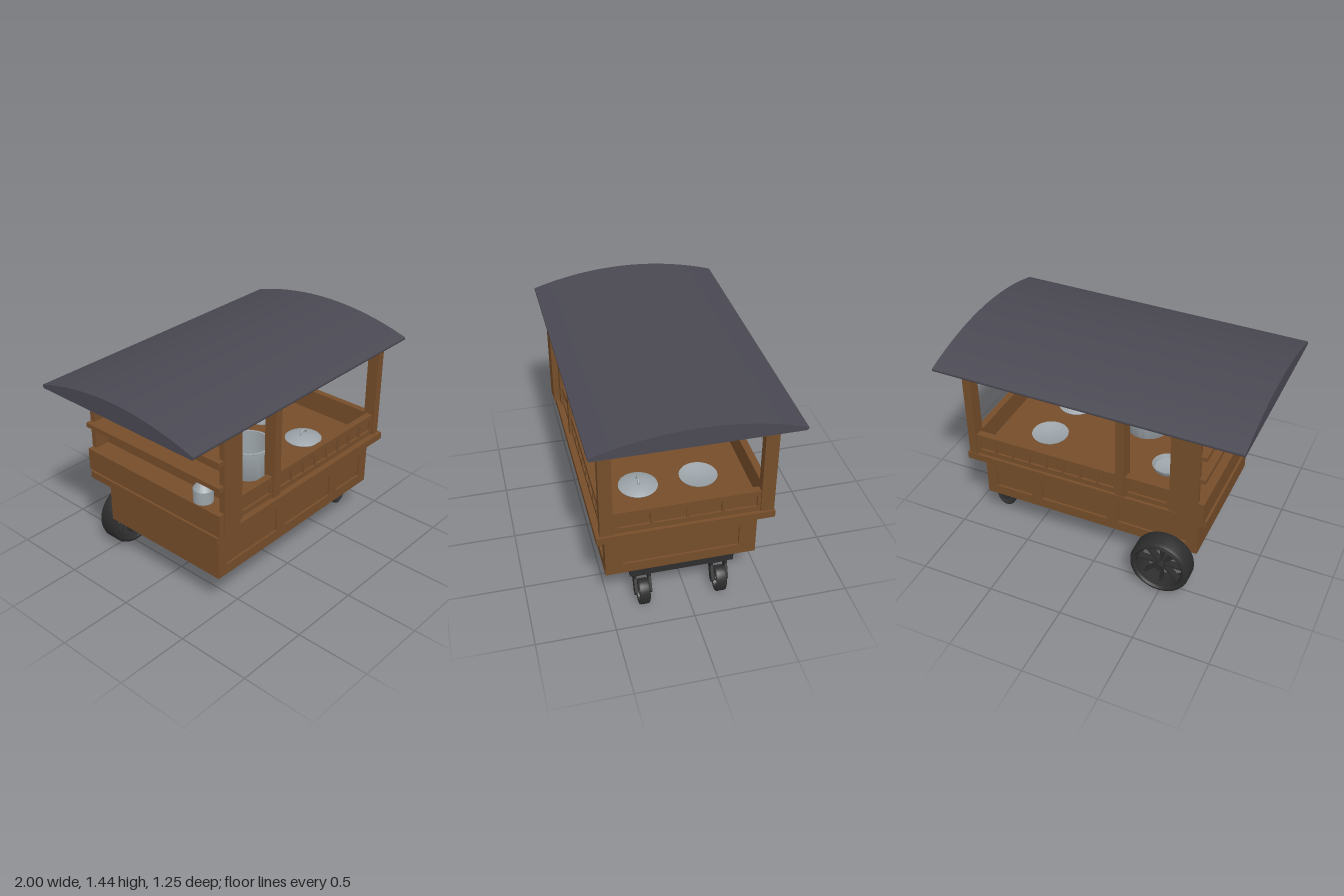
import * as THREE from 'three';
import { toCreasedNormals } from 'three/addons/utils/BufferGeometryUtils.js';

const mat = (name, color, side = THREE.FrontSide) => {
  const m = new THREE.MeshStandardMaterial({ color, side });
  m.name = name;
  return m;
};

export function createModel() {
  const wood = mat('wood', 0x754d2a);
  const slate = mat('roof slate', 0x4a4953);
  const steel = mat('steel', 0x9ca4a9, THREE.DoubleSide);
  const iron = mat('black iron', 0x2d2d2e);
  const root = new THREE.Group();
  root.name = 'foodCart';

  const add = (name, geo, material, parent = root) => {
    const m = new THREE.Mesh(geo, material);
    m.name = name;
    parent.add(m);
    return m;
  };
  // Box given by its limits on each axis
  const box = (name, x0, x1, y0, y1, z0, z1, material = wood, parent = root) => {
    const m = add(name, new THREE.BoxGeometry(x1 - x0, y1 - y0, z1 - z0), material, parent);
    m.position.set((x0 + x1) / 2, (y0 + y1) / 2, (z0 + z1) / 2);
    return m;
  };
  const rectPath = (P, x0, x1, y0, y1) => {
    const p = new P();
    p.moveTo(x0, y0);
    p.lineTo(x1, y0);
    p.lineTo(x1, y1);
    p.lineTo(x0, y1);
    p.closePath();
    return p;
  };
  // Frame with window-like holes; its outer face lies on local z = 0
  const DEPTH = 0.015;
  const frame = (name, x0, x1, y0, y1, holes, hy0, hy1) => {
    const s = rectPath(THREE.Shape, x0, x1, y0, y1);
    holes.forEach(([a, b]) => s.holes.push(rectPath(THREE.Path, a, b, hy0, hy1)));
    const g = new THREE.ExtrudeGeometry(s, { depth: DEPTH, bevelEnabled: false });
    g.translate(0, 0, -DEPTH);
    return add(name, g, wood);
  };
  const mirrored = (holes) => holes.map(([a, b]) => [-b, -a]);

  // Lower cabinet with recessed panels on front, back and right end
  box('lowerCabinet', -0.695, 0.795, 0.285, 0.585, -0.42, 0.505);
  const lowHoles = [[-0.62, -0.15], [-0.07, 0.4], [0.48, 0.735]];
  frame('lowerFrontFrame', -0.695, 0.81, 0.285, 0.585, lowHoles, 0.355, 0.52).position.z = 0.52;
  const lowBack = frame('lowerBackFrame', -0.81, 0.695, 0.285, 0.585, mirrored(lowHoles), 0.355, 0.52);
  lowBack.position.z = -0.435;
  lowBack.rotation.y = Math.PI;
  const lowEnd = frame('lowerEndFrame', -0.52, 0.435, 0.285, 0.585, [[-0.41, 0.325]], 0.355, 0.52);
  lowEnd.position.x = 0.81;
  lowEnd.rotation.y = Math.PI / 2;

  // Neck and counter slab
  box('neck', -0.61, 0.72, 0.58, 0.615, -0.325, 0.385);
  box('counterSlab', -0.775, 0.885, 0.612, 0.66, -0.52, 0.58);

  // Low panelled walls round the counter
  const wallHoles = [[-0.505, -0.245]];
  for (let i = 0; i < 8; i++) wallHoles.push([-0.15 + i * 0.12, -0.045 + i * 0.12]);
  box('frontWall', -0.56, 0.84, 0.66, 0.81, 0.495, 0.525);
  frame('frontWallFrame', -0.56, 0.84, 0.66, 0.81, wallHoles, 0.695, 0.775).position.z = 0.54;
  box('backWall', -0.56, 0.84, 0.66, 0.81, -0.485, -0.455);
  const back = frame('backWallFrame', -0.84, 0.56, 0.66, 0.81, mirrored(wallHoles), 0.695, 0.775);
  back.position.z = -0.5;
  back.rotation.y = Math.PI;
  const endHoles = [0, 1, 2, 3].map((i) => [-0.45 + i * 0.22, -0.25 + i * 0.22]);
  box('endWall', 0.815, 0.845, 0.66, 0.81, -0.45, 0.49);
  const end = frame('endWallFrame', -0.49, 0.45, 0.66, 0.81, endHoles, 0.695, 0.775);
  end.position.x = 0.86;
  end.rotation.y = Math.PI / 2;

  // Roof posts, front and back
  for (const [x0, x1] of [[-0.585, -0.525], [-0.23, -0.17], [0.815, 0.87]]) {
    box('frontPost', x0, x1, 0.66, 1.325, 0.475, 0.555);
    box('backPost', x0, x1, 0.66, 1.325, -0.515, -0.43);
  }

  // Shelf unit at the left end
  box('shelfBackboard', -0.62, -0.585, 0.66, 1.32, -0.53, 0.57);
  box('shelfSideFront', -0.72, -0.585, 0.66, 1.32, 0.555, 0.595);
  box('shelfSideBack', -0.72, -0.585, 0.66, 1.32, -0.55, -0.515);
  box('shelfBase', -0.76, -0.6, 0.66, 0.81, -0.545, 0.59);
  box('lowerShelf', -0.76, -0.6, 0.97, 1.0, -0.545, 0.59);
  box('upperShelf', -0.76, -0.6, 1.14, 1.168, -0.545, 0.59);

  // Arched roof, flat beneath and slightly tilted
  const arch = new THREE.Shape();
  arch.moveTo(-0.615, 0);
  arch.lineTo(0.615, 0);
  arch.quadraticCurveTo(0.632, 0.006, 0.625, 0.022);
  arch.quadraticCurveTo(0, 0.218, -0.625, 0.022);
  arch.quadraticCurveTo(-0.632, 0.006, -0.615, 0);
  const roofGeo = new THREE.ExtrudeGeometry(arch, { depth: 2, bevelEnabled: false, curveSegments: 24 });
  roofGeo.translate(0, 0, -1).rotateY(Math.PI / 2).rotateZ(0.007);
  const roof = add('roof', toCreasedNormals(roofGeo, 0.5), slate);
  roof.position.y = 1.318;

  // Spoked wheel, axle along z: rounded tyre, hub and spokes
  const wheel = (name, r, inner, width, x, z, sx = 1) => {
    const g = new THREE.Group();
    g.name = name;
    const h = width / 2, c = Math.min(r * 0.14, h * 0.6);
    const pts = [[inner, -h * 0.85], [r - c, -h], [r - c * 0.3, -h + c * 0.3], [r, -h + c],
      [r, h - c], [r - c * 0.3, h - c * 0.3], [r - c, h], [inner, h * 0.85], [inner, -h * 0.85]];
    const tyre = new THREE.LatheGeometry(pts.map((p) => new THREE.Vector2(...p)), 40);
    add('tyre', toCreasedNormals(tyre.rotateX(Math.PI / 2), 0.7), iron, g);
    add('hub', new THREE.CylinderGeometry(r * 0.14, r * 0.14, width * 0.8, 16).rotateX(Math.PI / 2), iron, g);
    for (let i = 0; i < 4; i++) {
      const s = add('spoke', new THREE.BoxGeometry(inner * 2.02, r * 0.07, width * 0.3), iron, g);
      s.rotation.z = (i * Math.PI) / 4;
    }
    g.position.set(x, r, z);
    g.scale.x = sx;
    root.add(g);
  };
  wheel('largeWheel', 0.2, 0.158, 0.152, -0.49, -0.506);

  // Caster carriage under the right end
  box('casterPlate', 0.6, 0.81, 0.24, 0.287, -0.295, 0.368, iron);
  box('casterBeam', 0.6, 0.66, 0.193, 0.245, -0.295, 0.368, iron);
  const fork = new THREE.Shape();
  [[0.685, 0.242], [0.785, 0.242], [0.785, 0.19], [0.825, 0.1], [0.805, 0.07], [0.775, 0.08], [0.745, 0.15], [0.7, 0.2]]
    .forEach(([x, y], i) => (i ? fork.lineTo(x, y) : fork.moveTo(x, y)));
  for (const z of [0.285, -0.21]) {
    wheel('casterWheel', 0.092, 0.066, 0.07, 0.803, z, 0.76);
    for (const dz of [-0.055, 0.037]) {
      const f = add('casterFork', new THREE.ExtrudeGeometry(fork, { depth: 0.018, bevelEnabled: false }), iron);
      f.position.z = z + dz;
    }
    box('forkCrown', 0.685, 0.775, 0.2, 0.242, z - 0.05, z + 0.05, iron);
  }

  // Turned steel ware
  const ware = (name, pts, x, y, z) => {
    const lathe = new THREE.LatheGeometry(pts.map((p) => new THREE.Vector2(...p)), 36);
    const m = add(name, toCreasedNormals(lathe, 0.6), steel);
    m.position.set(x, y, z);
    return m;
  };
  const pot = ware('stockPot', [[0, 0], [0.145, 0], [0.15, 0.008], [0.15, 0.19], [0.157, 0.195], [0.157, 0.203],
    [0.143, 0.203], [0.143, 0.012], [0, 0.012]], -0.085, 0.66, 0.215);
  for (const s of [-1, 1]) {
    const h = add('potHandle', new THREE.TorusGeometry(0.038, 0.01, 8, 16, Math.PI), steel, pot);
    h.rotation.set(Math.PI / 2, 0, -s * Math.PI / 2);
    h.position.set(s * 0.145, 0.168, 0);
  }
  const lid = ware('potLid', [[0, 0], [0.12, 0], [0.125, 0.008], [0.115, 0.014], [0.07, 0.032], [0, 0.04]], 0.46, 0.662, 0.235);
  const grip = add('lidHandle', new THREE.TorusGeometry(0.03, 0.008, 8, 16, Math.PI), steel, lid);
  grip.position.y = 0.034;
  const plate = [[0, 0], [0.08, 0], [0.12, 0.02], [0.122, 0.026], [0.115, 0.025], [0.078, 0.008], [0, 0.008]];
  ware('plate', plate, 0.47, 0.662, -0.15);
  ware('bowl', [[0, 0], [0.06, 0], [0.09, 0.03], [0.1, 0.06], [0.093, 0.06], [0.083, 0.033], [0, 0.01]], -0.38, 0.662, -0.17);
  ware('canister', [[0, 0], [0.062, 0], [0.062, 0.085], [0.03, 0.13], [0, 0.135]], -0.693, 0.81, 0.4);

  return root;
}
